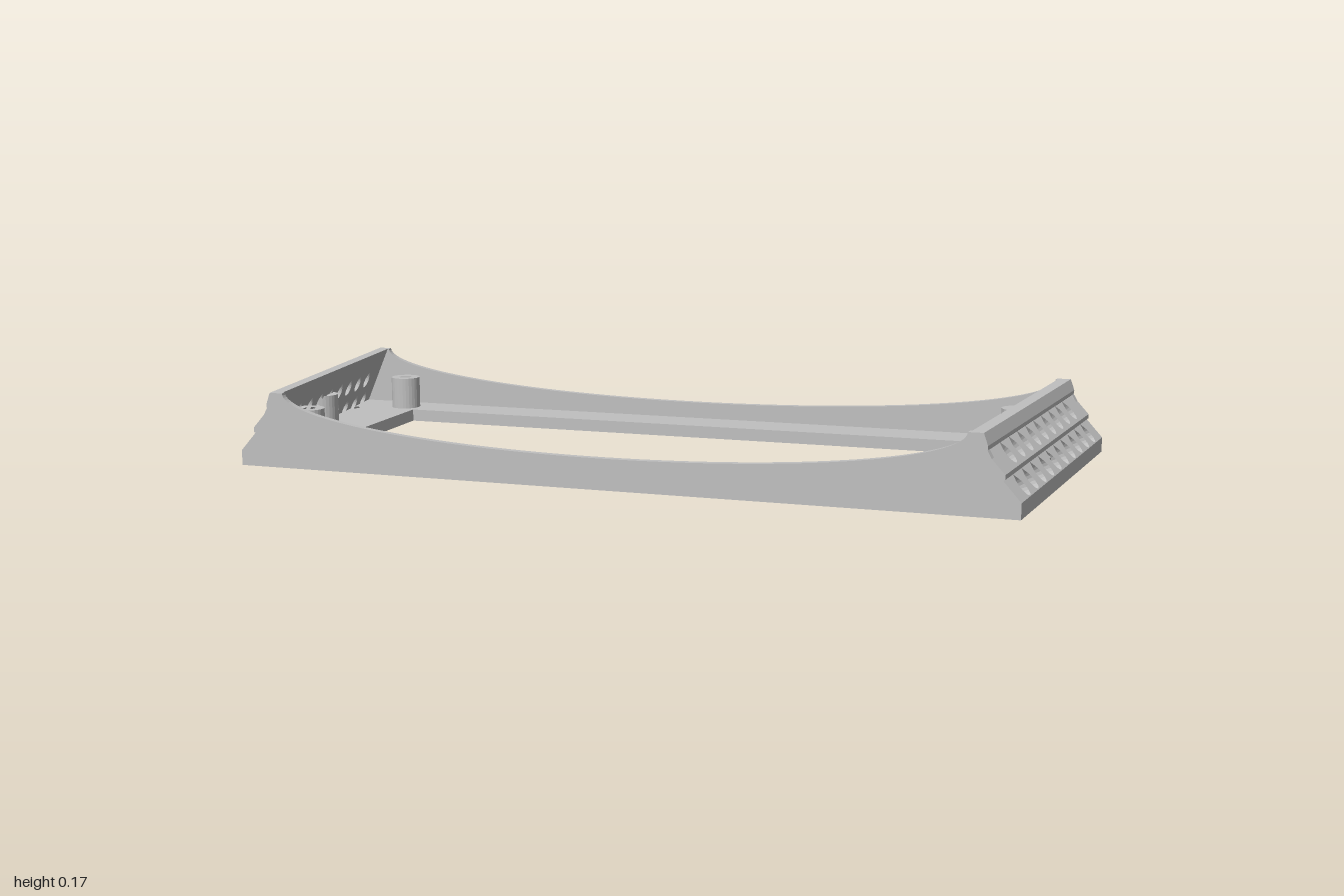
import * as THREE from 'three';

const DEPTH = 0.385;   // half length in z
const TOP = 0.173;     // full wall height
const FLOOR = 0.03;    // floor thickness
const half = z => 0.943 - 0.148 * z;   // half width of the tapered plan

// Outer side profile: [inset, height], two sloped panels under small ledges
const PROFILE = [[0, 0], [0, 0.035], [-0.038, 0.078], [-0.034, 0.08], [-0.034, 0.09],
  [-0.076, 0.137], [-0.07, 0.139], [-0.07, 0.147], [-0.079, TOP]];
// Rows of holes, keyed by the profile band they pierce
const ROWS = { 1: { count: 10, y: 0.0535 }, 4: { count: 9, y: 0.1125 } };

// Inner wall face, and how far the holes sink on their way in
const inner = y => -0.045 - 0.062 * (y - FLOOR) / (TOP - FLOOR);
const sink = y => 0.016 * Math.min(1, (TOP - y) / (TOP - 0.137));

const polygon = pts => new THREE.Shape(pts.map(p => new THREE.Vector2(...p)));
const extrude = (shape, depth, segments = 14) =>
  new THREE.ExtrudeGeometry(shape, { depth, bevelEnabled: false, curveSegments: segments });

// Round hole as a closed loop of points
function circle(x, y, r, n = 20) {
  return polygon(Array.from({ length: n }, (_, i) => {
    const t = -2 * Math.PI * i / n;
    return [x + r * Math.cos(t), y + r * Math.sin(t)];
  }));
}

// Round hole with a pointed roof
function teardrop(u, y, r) {
  const pts = [[u, y + r * 1.38]];
  for (let i = 0; i <= 14; i++) {
    const t = Math.PI * (0.75 + 1.5 * i / 14);
    pts.push([u + r * Math.cos(t), y + r * Math.sin(t)]);
  }
  return polygon(pts);
}

// Moves every vertex by a rule and refreshes the flat normals
function reshape(geometry, rule) {
  const pos = geometry.attributes.position;
  for (let i = 0; i < pos.count; i++) {
    pos.setXYZ(i, ...rule(pos.getX(i), pos.getY(i), pos.getZ(i)));
  }
  geometry.computeVertexNormals();
  return geometry;
}

export function createModel() {
  const group = new THREE.Group();
  const grey = new THREE.MeshStandardMaterial({ color: 0xc0c0c0 });
  grey.name = 'light grey';

  const add = (name, geometry, parent = group) => {
    const mesh = new THREE.Mesh(geometry, grey);
    mesh.name = name;
    parent.add(mesh);
  };

  const posts = [[0.805, -0.3], [0.805, 0.215], [0.875, 0.02]];
  const floorHoles = [...posts, [0.93, -0.24]];

  // Floor frame: front and back bars around a rectangular opening
  const open = 0.765, openZ = 0.259;
  for (const s of [-1, 1]) {
    const bar = new THREE.BoxGeometry(open * 2, FLOOR, DEPTH - openZ);
    add(s > 0 ? 'frontFloorBar' : 'backFloorBar',
      bar.translate(0, FLOOR / 2, s * (DEPTH + openZ) / 2));
  }

  // Floor strips under the side walls, with screw holes
  for (const s of [-1, 1]) {
    const strip = polygon([[s * open, -DEPTH], [s * half(DEPTH), -DEPTH],
      [s * half(-DEPTH), DEPTH], [s * open, DEPTH]]);
    for (const [x, z] of floorHoles) strip.holes.push(circle(s * x, -z, 0.016));
    add(s > 0 ? 'leftFloorStrip' : 'rightFloorStrip',
      extrude(strip, FLOOR).rotateX(-Math.PI / 2));
  }

  // Leaning side walls, built as horizontal bands, two of them perforated
  for (const s of [-1, 1]) {
    const wall = new THREE.Group();
    wall.name = s > 0 ? 'leftWall' : 'rightWall';
    group.add(wall);
    for (let i = 0; i < PROFILE.length - 1; i++) {
      const [o0, y0] = PROFILE[i], [o1, y1] = PROFILE[i + 1];
      const start = i === 0 ? FLOOR : y0;
      const band = polygon([[-DEPTH, start], [DEPTH, start], [DEPTH, y1], [-DEPTH, y1]]);
      const row = ROWS[i];
      for (let k = 0; row && k < row.count; k++) {
        band.holes.push(teardrop((k - (row.count - 1) / 2) * 0.0692, row.y, 0.0172));
      }
      const geometry = reshape(extrude(band, 1), (u, y, d) => {
        const z = -s * u;
        const outer = o0 + (o1 - o0) * (y - y0) / (y1 - y0);
        const yIn = y - sink(y);
        return [s * (half(z) + THREE.MathUtils.lerp(inner(yIn), outer, d)),
          THREE.MathUtils.lerp(yIn, y, d), z];
      });
      add(row ? 'perforatedBand' : 'wallBand', geometry, wall);
    }
  }

  // Thin front and back walls with an elliptical dip
  const thick = 0.017;
  for (const [name, z0, zStart] of [['frontWall', DEPTH, DEPTH - thick], ['backWall', -DEPTH, -DEPTH]]) {
    const w = half(z0), a = w - 0.111, inset = 0.012;
    const pts = [[-w + inset, 0.001], [w - inset, 0.001], [w - inset, 0.03], [w - 0.09, TOP]];
    for (let i = 0; i <= 64; i++) {
      const t = Math.PI * i / 64;
      pts.push([a * Math.cos(t), TOP - 0.103 * Math.sin(t)]);
    }
    pts.push([-w + 0.09, TOP], [-w + inset, 0.03]);
    const geometry = extrude(polygon(pts), thick).translate(0, 0, zStart);
    add(name, reshape(geometry, (x, y, z) => [x * half(z) / w, y, z]));
  }

  // Hollow screw posts, cut off where they meet the leaning wall
  for (const s of [-1, 1]) {
    for (const [x, z] of posts) {
      const ring = circle(s * x, -z, 0.037, 28);
      ring.holes.push(circle(s * x, -z, 0.016));
      const post = extrude(ring, 0.11).rotateX(-Math.PI / 2);
      add('screwPost', reshape(post, (px, py, pz) => [px, py < 0.05 ? FLOOR - 0.001
        : Math.min(py, FLOOR + 1.05 * (half(pz) - Math.abs(px))), pz]));
    }
  }
  return group;
}
